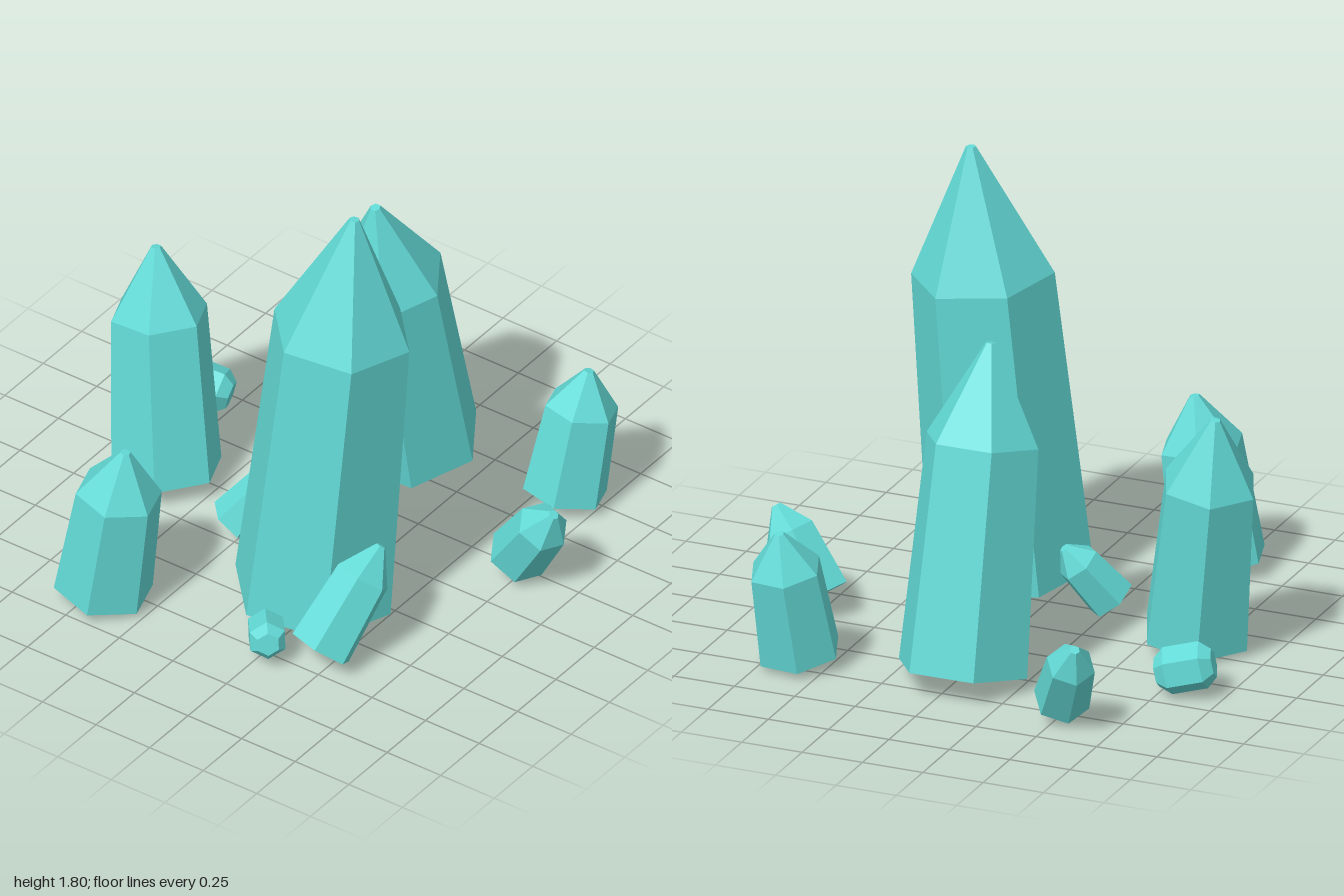
import * as THREE from 'three';

const material = new THREE.MeshStandardMaterial({ color: 0x62d9d5, flatShading: true });
const UP = new THREE.Vector3(0, 1, 0);

// Six-sided solid of the given [radius, height] profile, standing at base and pointing along axis
function hexSolid(name, profile, base, axis, spin) {
  const points = profile.map(([r, h]) => new THREE.Vector2(r, h));
  const geometry = new THREE.LatheGeometry(points, 6, THREE.MathUtils.degToRad(spin));
  const mesh = new THREE.Mesh(geometry, material);
  mesh.name = name;
  mesh.position.copy(base);
  mesh.quaternion.setFromUnitVectors(UP, axis.clone().normalize());
  return mesh;
}

// Tapered shaft up to 70% of the length, then a point with a tiny flat cap
function crystal({ name, base, tip, radius, spin }) {
  const from = new THREE.Vector3(...base);
  const axis = new THREE.Vector3(...tip).sub(from);
  const length = axis.length();
  const profile = [[0, 0], [radius, 0], [radius * 0.87, length * 0.7], [0.02, length], [0, length]];
  return hexSolid(name, profile, from, axis, spin);
}

// Short lying shard, bevelled at both ends
function shard({ name, center, dir, radius, length, spin }) {
  const axis = new THREE.Vector3(...dir);
  const h = length / 2, body = h * 0.62, end = radius * 0.6;
  const profile = [[0, -h], [end, -h], [radius, -body], [radius, body], [end, h], [0, h]];
  return hexSolid(name, profile, new THREE.Vector3(...center), axis, spin);
}

const crystals = [
  { name: 'tallCrystal', base: [-0.38, 0.05, 0.21], tip: [-0.285, 1.795, 0.335], radius: 0.32, spin: 13 },
  { name: 'leaningCrystal', base: [0.62, 0.054, -0.03], tip: [0.368, 1.297, -0.035], radius: 0.262, spin: 2 },
  { name: 'backCrystal', base: [-0.072, 0.05, -0.695], tip: [0.028, 0.98, -0.815], radius: 0.22, spin: 54 },
  { name: 'leftCrystal', base: [-0.815, 0.038, -0.457], tip: [-0.795, 0.698, -0.368], radius: 0.193, spin: 47 },
  { name: 'rightFrontCrystal', base: [0.695, 0.047, 0.615], tip: [0.8, 0.562, 0.653], radius: 0.167, spin: 50 },
  { name: 'leftFrontCrystal', base: [-0.7, 0.083, 0.475], tip: [-0.43, 0.44, 0.563], radius: 0.13, spin: 47 },
  { name: 'frontCrystal', base: [0.22, 0.08, 0.735], tip: [0.163, 0.392, 0.945], radius: 0.12, spin: 5 },
  { name: 'rightBackCrystal', base: [0.805, 0.078, -0.52], tip: [0.966, 0.362, -0.645], radius: 0.11, spin: 10 },
  { name: 'middleCrystal', base: [-0.22, 0.07, -0.275], tip: [-0.112, 0.29, -0.128], radius: 0.1, spin: 15 },
];

const shards = [
  { name: 'backShard', center: [0.38, 0.102, -0.845], dir: [-0.28, 0.22, -0.92], radius: 0.094, length: 0.225, spin: 10 },
  { name: 'leftShard', center: [-0.765, 0.098, 0.27], dir: [-0.75, 0.2, 0.6], radius: 0.077, length: 0.2, spin: 10 },
];

export function createModel() {
  const group = new THREE.Group();
  group.name = 'crystalCluster';
  crystals.forEach((c) => group.add(crystal(c)));
  shards.forEach((s) => group.add(shard(s)));
  return group;
}
